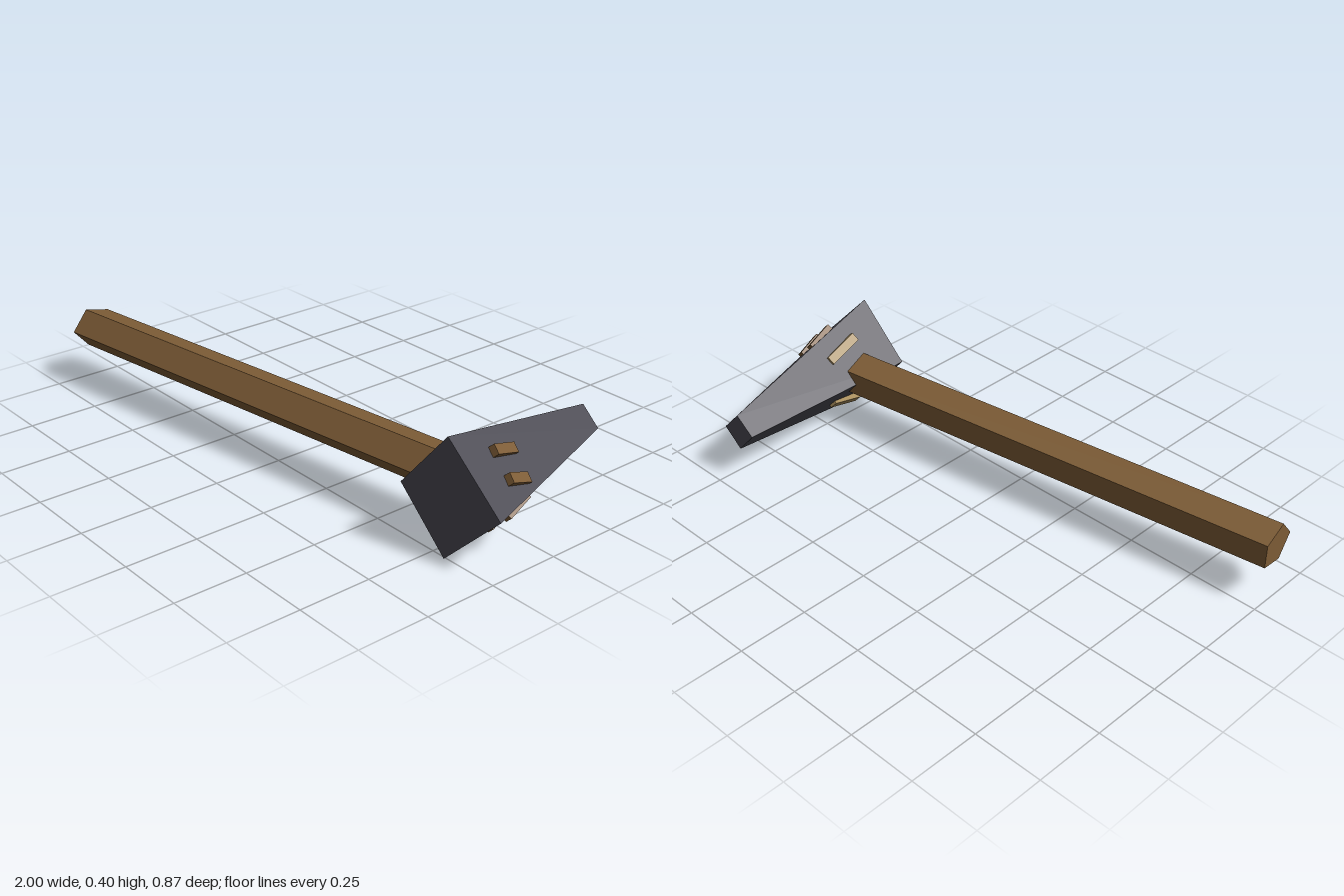
import * as THREE from 'three';

const material = (name, color) => {
  const m = new THREE.MeshStandardMaterial({ color, flatShading: true });
  m.name = name;
  return m;
};
const v = (x, y, z) => new THREE.Vector3(x, y, z);

// Corners of the diamond sections: left, top, right, bottom
const front = [v(0.635, 0.195, 0.28), v(0.804, 0.4, 0.257), v(1, 0.195, 0.23), v(0.804, 0, 0.257)];
const back = [v(0.645, 0.193, -0.42), v(0.705, 0.26, -0.43), v(0.765, 0.193, -0.44), v(0.705, 0.122, -0.43)];

function headGeometry() {
  const pos = [];
  const quad = (a, b, c, d) => [a, b, c, a, c, d].forEach(p => pos.push(p.x, p.y, p.z));
  for (let i = 0; i < 4; i++) {
    const j = (i + 1) % 4;
    quad(front[i], front[j], back[j], back[i]);
  }
  quad(front[3], front[2], front[1], front[0]);
  quad(back[0], back[1], back[2], back[3]);
  const g = new THREE.BufferGeometry();
  g.setAttribute('position', new THREE.Float32BufferAttribute(pos, 3));
  g.computeVertexNormals();
  return g;
}

// Peg on one side of the head, running between two (y, z) points, its front end lifted
function peg(name, mat, side, y0, z0, y1, z1, width) {
  const plane = new THREE.Plane().setFromCoplanarPoints(front[side], back[side], front[(side + 1) % 4]);
  if (plane.distanceToPoint(v(0.8, 0.195, 0)) > 0) plane.negate();
  const n = plane.normal;
  const onFace = (y, z) => v(-(plane.constant + n.y * y + n.z * z) / n.x, y, z);
  const a = onFace(y0, z0).addScaledVector(n, 0.006);
  const b = onFace(y1, z1).addScaledVector(n, -0.006);
  const along = a.clone().sub(b);
  const length = along.length();
  along.normalize();
  const across = n.clone().cross(along).normalize();
  const up = along.clone().cross(across);
  const mesh = new THREE.Mesh(new THREE.BoxGeometry(width, 0.032, length), mat);
  mesh.quaternion.setFromRotationMatrix(new THREE.Matrix4().makeBasis(across, up, along));
  mesh.position.copy(a).add(b).multiplyScalar(0.5);
  mesh.name = name;
  return mesh;
}

export function createModel() {
  const group = new THREE.Group();
  group.name = 'hammer';
  const iron = material('dark iron', 0x4c4b54);
  const wood = material('brown wood', 0x7d5c36);
  const paleWood = material('pale wood', 0xa68c5c);

  // Tapered diamond head
  const head = new THREE.Mesh(headGeometry(), iron);
  head.name = 'head';
  group.add(head);

  // Five-sided handle, running into the head
  const section = new THREE.Shape([[0, -0.043], [-0.099, -0.068], [-0.161, 0], [-0.099, 0.07], [0, 0.043]]
    .map(([x, y]) => new THREE.Vector2(x, y)));
  const shaft = new THREE.ExtrudeGeometry(section, { depth: 1.72, bevelEnabled: false });
  shaft.rotateY(Math.PI / 2);
  const handle = new THREE.Mesh(shaft, wood);
  handle.position.set(-1, 0.195, 0.275);
  handle.rotation.y = 0.134;
  handle.name = 'handle';
  group.add(handle);

  // Pegs, mirrored above and below the middle edge
  for (const upper of [true, false]) {
    const y = h => (upper ? 0.195 + h : 0.195 - h);
    const word = upper ? 'upper' : 'lower';
    group.add(
      peg(word + 'OuterPeg', wood, upper ? 1 : 2, y(0.122), 0.115, y(0.096), 0.008, 0.034),
      peg(word + 'MiddlePeg', wood, upper ? 1 : 2, y(0.056), 0.115, y(0.03), 0.02, 0.034),
      peg(word + 'InnerPeg', paleWood, upper ? 0 : 3, y(0.122), 0.135, y(0.09), 0.002, 0.032),
    );
  }
  return group;
}
